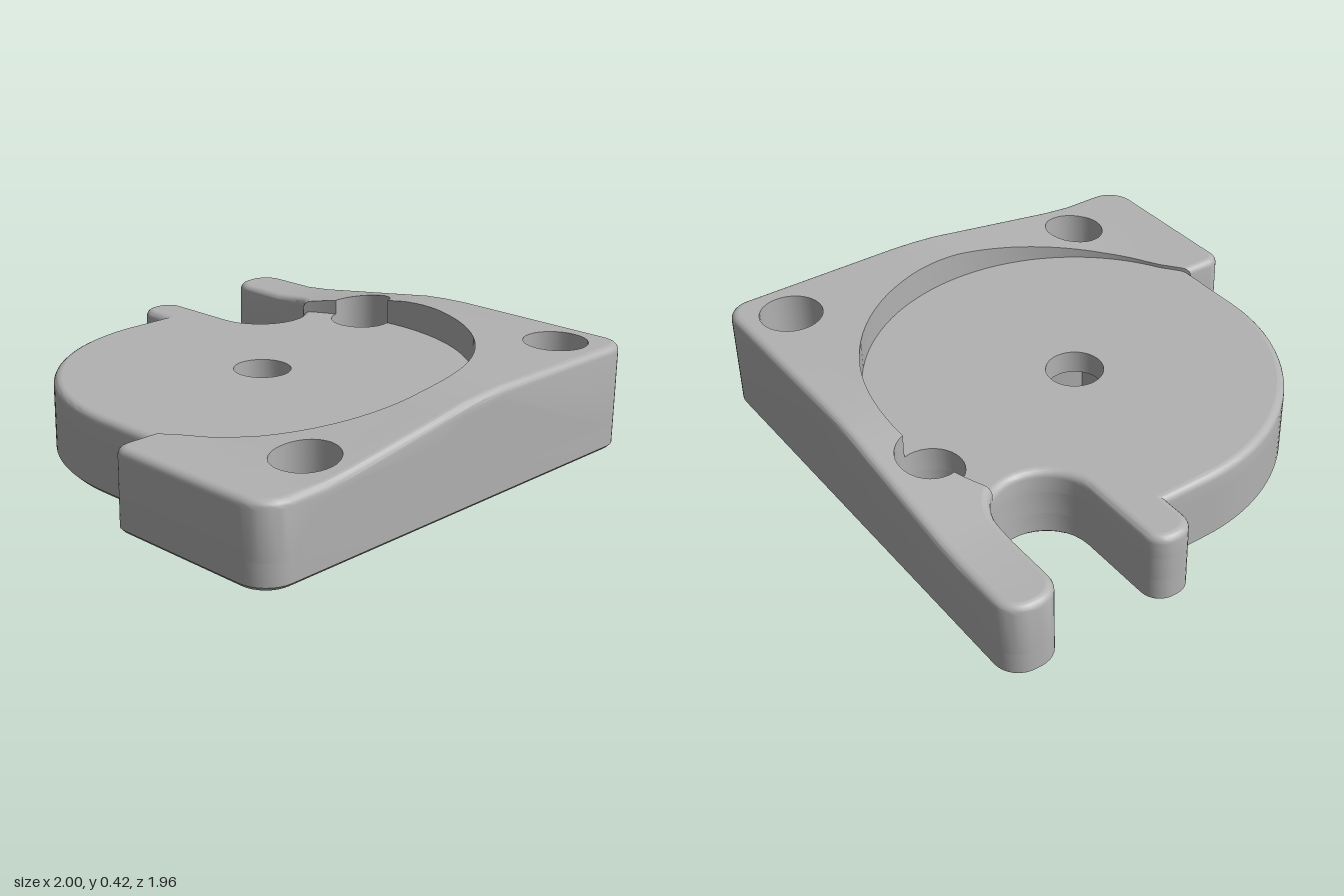
import * as THREE from 'three';
import { mergeGeometries, toCreasedNormals } from 'three/addons/utils/BufferGeometryUtils.js';

const PI = Math.PI, R = 0.03; // R: top edge rounding
const FLOOR = 0.295, RIM = 0.31, BORE = 0.1, NUT = 0.2;

// ---- plan curves, as [x, z] points ----
function arc(cx, cz, r, a0, a1) {
  const n = Math.max(2, Math.ceil(Math.abs(a1 - a0) / (r > 0.5 ? 0.05 : 0.2)));
  return Array.from({ length: n + 1 }, (_, i) => {
    const a = a0 + (a1 - a0) * i / n;
    return [cx + r * Math.cos(a), cz + r * Math.sin(a)];
  });
}
const unique = pts => pts.filter((p, i) => {
  const q = pts[(i + pts.length - 1) % pts.length];
  return Math.hypot(p[0] - q[0], p[1] - q[1]) > 0.002;
});
// a loop with an inset weight for each edge
const loop = (pts, weight = () => 0) => ({ pts, w: pts.map((_, i) => weight(i)) });
const hole = (x, z, r) => loop(arc(x, z, r, 2 * PI, 0).slice(0, -1));

// move every edge of a loop into the material
function inset({ pts, w }, d) {
  const n = pts.length;
  const normal = i => {
    const a = pts[i], b = pts[(i + 1) % n], l = Math.hypot(b[0] - a[0], b[1] - a[1]);
    return [-(b[1] - a[1]) / l, (b[0] - a[0]) / l];
  };
  return pts.map((p, i) => {
    const j = (i + n - 1) % n, m = normal(j), k = normal(i), e = w[j] * d, f = w[i] * d;
    const det = m[0] * k[1] - m[1] * k[0];
    if (Math.abs(det) < 0.01) {
      const s = 1 + m[0] * k[0] + m[1] * k[1];
      return [p[0] + (m[0] * e + k[0] * f) / s, p[1] + (m[1] * e + k[1] * f) / s];
    }
    return [p[0] + (e * k[1] - f * m[1]) / det, p[1] + (m[0] * f - k[0] * e) / det];
  });
}

// cut triangles along the line where coordinate `axis` equals c
function split(tris, axis, c) {
  const out = [];
  for (const t of tris) {
    const parts = [[], []];
    t.forEach((p, i) => {
      const q = t[(i + 1) % 3], a = p[axis] - c, b = q[axis] - c;
      if (a <= 1e-7) parts[0].push(p);
      if (a >= -1e-7) parts[1].push(p);
      if ((a < -1e-7 && b > 1e-7) || (a > 1e-7 && b < -1e-7)) {
        const m = p.map((v, k) => v + (q[k] - v) * a / (a - b));
        parts[0].push(m);
        parts[1].push(m);
      }
    });
    const both = t.every(p => Math.abs(p[axis] - c) <= 1e-7);
    for (const g of both ? [t] : parts)
      for (let i = 2; i < g.length; i++) out.push([g[0], g[i - 1], g[i]]);
  }
  return out;
}

// ramp of the raised border: [position, rise]
const ramp = [[-0.7, 0], [-0.58, 0.012], [-0.12, 0.08], [0, 0.098], [0.1, 0.106], [0.2, 0.11]];
function rampAt(s) {
  if (s <= ramp[0][0]) return 0;
  for (let i = 1; i < ramp.length; i++) {
    const [a, u] = ramp[i - 1], [b, v] = ramp[i];
    if (s <= b) return u + (v - u) * (s - a) / (b - a);
  }
  return 0.11;
}
function raise(tris) {
  for (const [s] of ramp) tris = split(split(tris, 0, s), 2, -s);
  return tris.map(t => t.map(([x, y, z]) =>
    [x, y > 0.2 ? y + Math.min(rampAt(x), rampAt(-z)) : y, z]));
}

function toGeometry(tris) {
  const g = new THREE.BufferGeometry();
  g.setAttribute('position', new THREE.Float32BufferAttribute(tris.flat(2), 3));
  return toCreasedNormals(g, 0.5);
}

// solid from loops (outer first, then holes) through levels of [y, inset]
function slab(loops, levels, shape = t => t) {
  const sides = [], caps = [];
  const rings = levels.map(([y, d]) => loops.map(l => inset(l, d).map(([x, z]) => [x, y, z])));
  for (let k = 1; k < rings.length; k++)
    rings[k].forEach((up, j) => up.forEach((p, i) => {
      const low = rings[k - 1][j], n = (i + 1) % up.length;
      sides.push([low[i], up[n], low[n]], [low[i], p, up[n]]);
    }));
  for (const [ring, top] of [[rings[0], false], [rings[rings.length - 1], true]]) {
    const flat = ring.map(l => l.map(p => new THREE.Vector2(p[0], p[2])));
    const all = ring.flat();
    for (const f of THREE.ShapeUtils.triangulateShape(flat[0], flat.slice(1))) {
      const [a, b, c] = f.map(i => all[i]);
      const area = (b[0] - a[0]) * (c[2] - a[2]) - (b[2] - a[2]) * (c[0] - a[0]);
      if (Math.abs(area) > 1e-10) caps.push((area < 0) === top ? [a, b, c] : [a, c, b]);
    }
  }
  return mergeGeometries([toGeometry(shape(sides)), toGeometry(shape(caps))]);
}

const rounded = top => Array.from({ length: 6 }, (_, i) => {
  const a = i / 5 * PI / 2;
  return [top - R + R * Math.sin(a), R * (1 - Math.cos(a))];
});

export function createModel() {
  const model = new THREE.Group();
  const grey = new THREE.MeshStandardMaterial({ color: 0xb2b2b2 });
  grey.name = 'grey';
  const add = (name, geometry) => {
    const mesh = new THREE.Mesh(geometry, grey);
    mesh.name = name;
    model.add(mesh);
  };

  // outer edge of the L-shaped border, from the slot round to the front tab
  const borderEdge = [
    ...arc(-0.615, -0.565, 0.19, -0.693, -PI / 2),
    ...arc(-0.9, -0.855, 0.1, PI / 2, PI),
    ...arc(-0.9, -0.88, 0.1, PI, 1.5 * PI),
    ...arc(0.9, -0.88, 0.1, -PI / 2, 0),
    ...arc(0.88, 0.86, 0.12, 0, PI / 2),
    ...arc(0.31, 0.92, 0.06, PI / 2, PI),
    [0.25, 0.81],
  ];
  // outer edge of the round platform, from the front tab back to the slot
  const platformEdge = [
    [0.25, 0.81],
    ...arc(-0.02, 0, 0.81, PI / 2, PI),
    [-0.83, -0.195],
    ...arc(-0.92, -0.275, 0.08, PI / 2, PI),
    ...arc(-0.92, -0.295, 0.08, PI, 1.5 * PI),
    ...arc(-0.615, -0.565, 0.19, PI / 2, -0.693),
  ];
  // circular step between them, interrupted by the rear screw bore
  const stepA = arc(-0.02, 0, 0.82, -2.15, -1.969).slice(1);
  const stepB = arc(-0.02, 0, 0.82, -1.663, 1.09);
  const boreIn = arc(-0.215, -0.78, 0.125, 2.948, -0.296);
  const boreOut = arc(-0.215, -0.78, 0.125, -3.335, -0.296);
  const join = (edge, step) => loop(unique([...edge, ...step]), i => (i < edge.length - 1 ? 1 : 0));
  const border = join(borderEdge, [...stepA, ...boreOut, ...stepB].reverse());
  const platform = join(platformEdge, [...stepA, ...boreIn, ...stepB]);

  const hex = loop(Array.from({ length: 6 }, (_, i) => {
    const a = PI / 4 - i * PI / 3;
    return [-0.02 + 0.195 * Math.cos(a), 0.195 * Math.sin(a)];
  }), () => 1);
  const screws = [[-0.215, -0.78], [0.8, -0.78], [0.8, 0.6]];

  // base with chamfered underside, screw holes and nut pocket
  const outline = loop(unique([...borderEdge, ...platformEdge]), () => 1);
  add('base', slab([outline, hex, ...screws.map(([x, z]) => hole(x, z, 0.07))],
    [[0, 0.015], [0.015, 0], [BORE, 0]]));

  // platform: nut pocket layer, then the top with the round shaft hole
  add('platformCore', slab([platform, hex], [[BORE, 0], [NUT, 0]]));
  add('platformTop', slab([platform, hole(-0.02, 0, 0.113)], [[NUT, 0], ...rounded(FLOOR)]));

  // raised, ramped border with counterbores
  add('border', slab([border, ...screws.slice(1).map(([x, z]) => hole(x, z, 0.125))],
    [[BORE, 0], ...rounded(RIM)], raise));

  return model;
}
